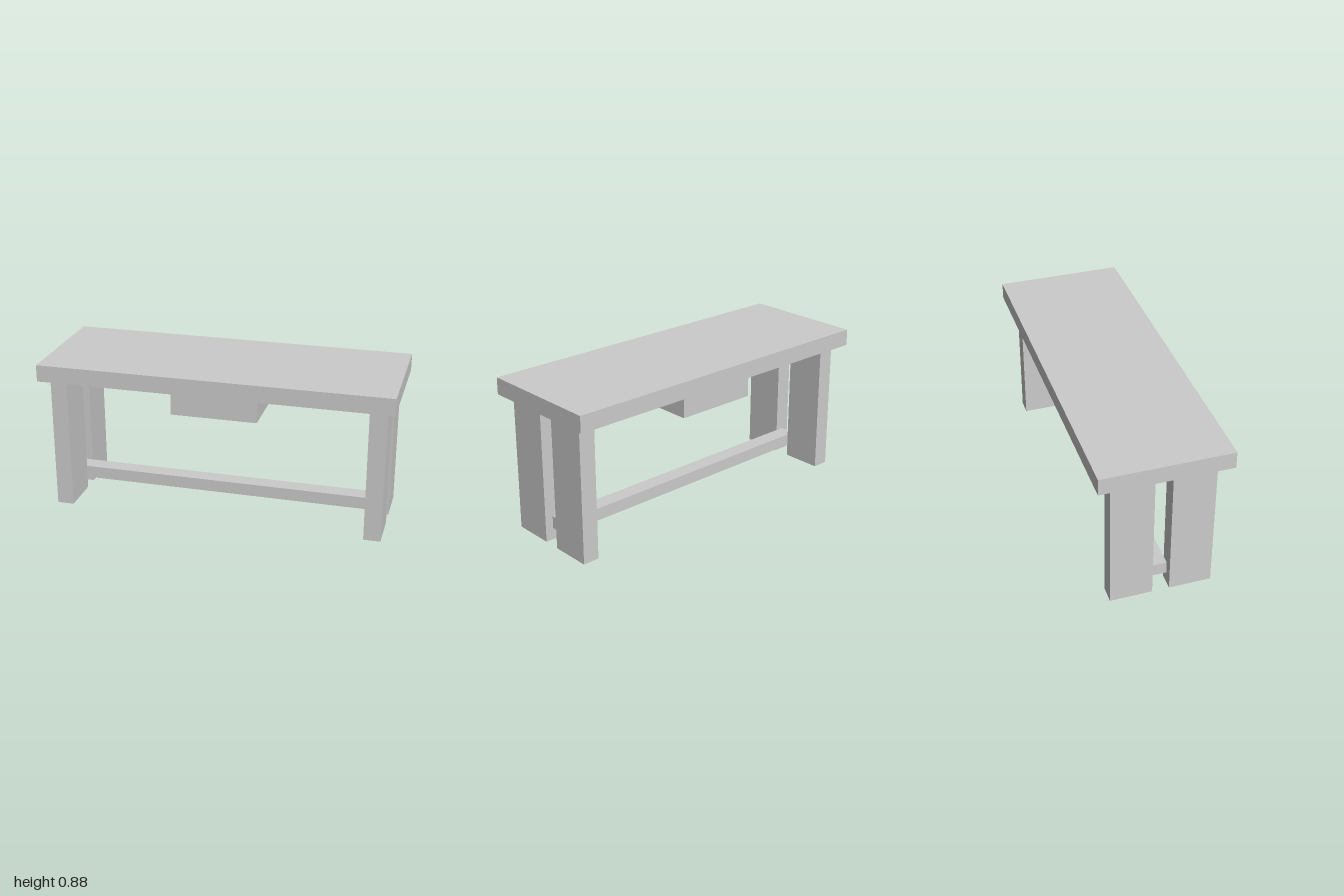
import * as THREE from 'three';

const material = new THREE.MeshStandardMaterial({ color: 0xcccccc, flatShading: true });

// Box given by its size, the height of its underside and its centre in plan
function addBox(group, name, [w, h, d], bottom, x = 0, z = 0) {
  const mesh = new THREE.Mesh(new THREE.BoxGeometry(w, h, d), material);
  mesh.name = name;
  mesh.position.set(x, bottom + h / 2, z);
  group.add(mesh);
}

export function createModel() {
  const table = new THREE.Group();
  table.name = 'table';

  const legHeight = 0.784;
  const legX = 0.905;

  addBox(table, 'tableTop', [2, 0.096, 0.724], legHeight);

  // Drawer box hanging under the middle of the top
  addBox(table, 'drawer', [0.49, 0.151, 0.57], 0.633);

  // A pair of plank legs at each end, with a gap between them
  for (const [side, sx] of [['left', 1], ['right', -1]]) {
    for (const [end, sz] of [['Front', 1], ['Back', -1]]) {
      addBox(table, `${side}${end}Leg`, [0.096, legHeight, 0.237], 0, sx * legX, sz * 0.1665);
    }
  }

  // Low rail running through the gaps to the middle of the legs
  addBox(table, 'stretcher', [2 * legX, 0.072, 0.096], 0.068);

  return table;
}
